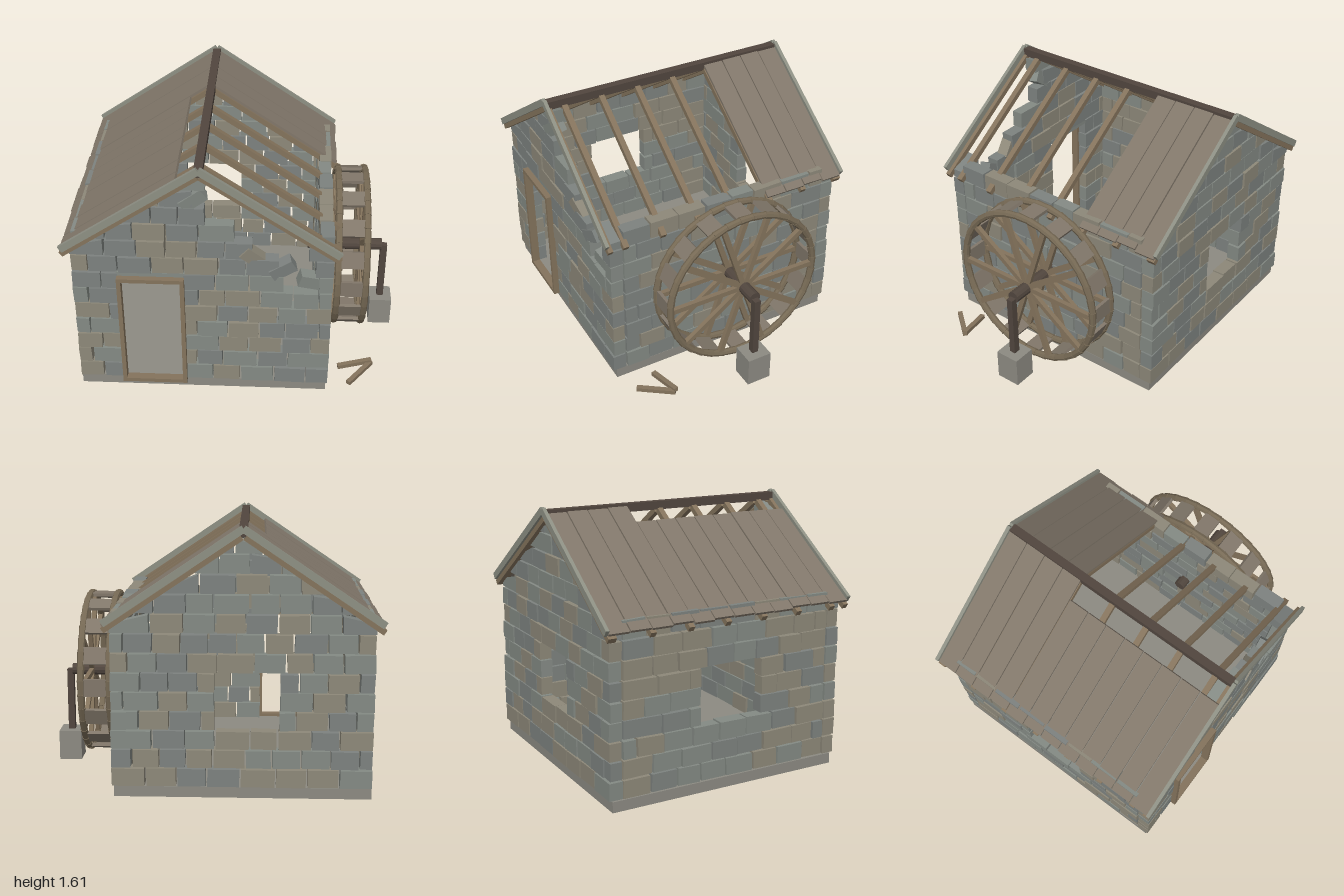
import * as THREE from 'three';
import { mergeGeometries } from 'three/addons/utils/BufferGeometryUtils.js';

const mat = (color) => new THREE.MeshStandardMaterial({ color, flatShading: true });
const STONES = [mat(0x848a84), mat(0x8d8879), mat(0x7d827f)];
const SLAB = mat(0x8c8a82), PLANK = mat(0x81776a), WOOD = mat(0x84735c);
const DARK = mat(0x51463e), TRIM = mat(0x8d8f83), RIM = mat(0x776a55);

// Seeded random numbers
let seed = 11;
const rnd = () => {
  seed = (seed * 16807) % 2147483647;
  return seed / 2147483647;
};
const jitter = (a) => (rnd() - 0.5) * 2 * a;

const CX = -0.2;              // ridge position
const SLOPE = 0.675;
const ROW0 = 0.083, ROW = 0.1142, EAVE_ROWS = 9;
const THICK = 0.078;

function box(parent, name, size, pos, material, rot = [0, 0, 0]) {
  const m = new THREE.Mesh(new THREE.BoxGeometry(...size), material);
  m.name = name;
  m.position.set(...pos);
  m.rotation.set(...rot);
  parent.add(m);
  return m;
}

// Stone wall in its own plane: u along the wall, y up, thickness along z.
function stoneWall(name, u0, u1, { gable = false, openings = [], keep = () => true } = {}) {
  const buckets = STONES.map(() => []);
  const roof = (u) => 1.565 - SLOPE * Math.abs(u - CX);
  const rows = gable ? 13 : EAVE_ROWS;
  for (let r = 0; r < rows; r++) {
    const y0 = ROW0 + r * ROW, y1 = y0 + ROW - 0.009, ym = (y0 + y1) / 2;
    let spans = [[u0, u1]];
    if (r >= EAVE_ROWS) {
      const half = (1.545 - y0) / SLOPE;
      spans = [[CX - half, CX + half]];
    }
    // cut the openings out of the row
    for (const [a, b, lo, hi] of openings) {
      if (ym < lo || ym > hi) continue;
      spans = spans.flatMap(([s, e]) => [[s, Math.min(e, a)], [Math.max(s, b), e]]).filter(([s, e]) => e - s > 0.03);
    }
    for (const [s, e] of spans) {
      let u = s, first = true;
      while (u < e - 0.01) {
        let len = 0.15 + rnd() * 0.06;
        if (first && r % 2) len *= 0.5;
        first = false;
        if (e - u - len < 0.07) len = e - u;
        const um = u + len / 2;
        if (keep(um, ym)) {
          const w = len - 0.01;
          const g = new THREE.BoxGeometry(w, y1 - y0, THICK + jitter(0.007));
          const p = g.attributes.position;
          const skew = [jitter(0.003), jitter(0.003), jitter(0.003), jitter(0.003)];
          for (let i = 0; i < p.count; i++) {
            const right = p.getX(i) > 0, top = p.getY(i) > 0;
            const x = um + p.getX(i) + skew[top ? 0 : 1];
            let y = ym + p.getY(i) + skew[right ? 2 : 3];
            if (gable && r >= EAVE_ROWS - 1) y = Math.max(y0, Math.min(y, roof(x)));
            p.setXY(i, x, y);
          }
          g.translate(0, 0, jitter(0.004));
          g.computeVertexNormals();
          buckets[Math.floor(rnd() * STONES.length)].push(g);
        }
        u += len;
      }
    }
  }
  const wall = new THREE.Group();
  wall.name = name;
  buckets.forEach((list, i) => {
    if (!list.length) return;
    const m = new THREE.Mesh(mergeGeometries(list), STONES[i]);
    m.name = name + 'Stones';
    wall.add(m);
  });
  return wall;
}

// Board lying along a roof slope, from d0 to d1 measured sideways from the ridge.
function slopeBoard(parent, name, side, d0, d1, ridgeY, thick, z, width, material) {
  const a = Math.atan(SLOPE), d = (d0 + d1) / 2;
  return box(parent, name, [(d1 - d0) / Math.cos(a), thick, width],
    [CX + side * d, ridgeY - SLOPE * d, z], material, [0, 0, -side * a]);
}

function buildWalls(model) {
  // front wall, broken away below the right roof slope
  const front = stoneWall('frontWall', -0.96, 0.57, {
    gable: true,
    openings: [[-0.68, -0.31, 0, 0.85]],
    keep: (x, y) => x < -0.22 || (x > 0.47 && y < 1.1) || y < 1.24 - 0.75 * (x + 0.2),
  });
  front.position.z = 0.728;
  const back = stoneWall('backWall', -0.96, 0.57, { gable: true, openings: [[-0.41, -0.04, 0.4, 0.74]] });
  back.position.z = -0.728;
  // side walls run along z (u = -z after the turn)
  const right = stoneWall('wheelSideWall', -0.685, 0.685);
  right.rotation.y = Math.PI / 2;
  right.position.x = 0.527;
  const left = stoneWall('windowSideWall', -0.685, 0.685, { openings: [[-0.22, 0.18, 0.4, 0.74]] });
  left.rotation.y = Math.PI / 2;
  left.position.x = -0.917;
  model.add(front, back, right, left);

  // loose stones along the break
  [[-0.24, 1.38, 0.6], [0.1, 1.0, -0.75], [0.27, 0.92, 0.5], [0.44, 0.84, -0.3]].forEach(([x, y, r], i) =>
    box(model, 'looseStone', [0.15, 0.08, 0.075], [x, y, 0.728], STONES[i % 3], [0.1, 0.15, r]));

  // door frame and lintel
  for (const x of [-0.68, -0.31]) box(model, 'doorPost', [0.025, 0.78, 0.05], [x, 0.46, 0.775], WOOD);
  for (const y of [0.083, 0.84]) box(model, 'doorRail', [0.395, 0.025, 0.05], [-0.495, y, 0.775], WOOD);
  box(model, 'doorLintel', [0.4, 0.028, 0.07], [-0.495, 0.865, 0.728], STONES[0]);
}

function buildRoof(model) {
  const roof = new THREE.Group();
  roof.name = 'roof';
  model.add(roof);
  box(roof, 'ridgeBeam', [0.05, 0.05, 1.58], [CX, 1.572, 0], DARK);
  for (const side of [-1, 1]) {
    for (let i = 0; i < 7; i++) slopeBoard(roof, 'rafter', side, 0.015, 0.8, 1.553, 0.034, 0.68 - i * 0.24, 0.035, WOOD);
    for (const z of [-0.798, 0.798]) {
      slopeBoard(roof, 'bargeBoard', side, 0, 0.8, 1.595, 0.042, z, 0.022, TRIM);
      slopeBoard(roof, 'vergeRafter', side, 0.01, 0.8, 1.553, 0.034, z * 0.975, 0.03, WOOD);
    }
    // planks: whole at the back, short on the left and gone on the right towards the front
    for (let i = 0; i < 12; i++) {
      const z = -0.725 + i * 0.132, whole = i < 4;
      if (side > 0 && !whole) continue;
      slopeBoard(roof, 'roofPlank', side, whole ? 0.005 : 0.13, 0.8 + jitter(0.006), 1.588 + jitter(0.003), 0.016, z, 0.126, PLANK);
    }
  }
}

function buildWheel(model) {
  const wheel = new THREE.Group();
  wheel.name = 'waterWheel';
  wheel.position.y = 0.6;
  model.add(wheel);
  const R = 0.494, SEGS = 36;
  const arm = (angle) => {
    const g = new THREE.Group();
    g.rotation.x = -angle;
    wheel.add(g);
    return g;
  };
  const rimPiece = new THREE.CylinderGeometry(0.02, 0.0235, (2 * Math.PI * R) / SEGS + 0.004, 8);
  for (const x of [0.61, 0.78]) {
    for (let i = 0; i < SEGS; i++) {
      const m = new THREE.Mesh(rimPiece, RIM);
      m.name = 'rimPiece';
      m.position.set(x, 0, R);
      arm((i / SEGS) * Math.PI * 2).add(m);
    }
    for (let i = 0; i < 10; i++) box(arm((i / 10) * Math.PI * 2), 'spoke', [0.028, 0.032, R], [x, 0, R / 2], WOOD);
  }
  for (let i = 0; i < 16; i++) box(arm((i / 16) * Math.PI * 2), 'paddle', [0.16, 0.105, 0.02], [0.695, 0, R], PLANK);

  const axle = new THREE.Mesh(new THREE.CylinderGeometry(0.038, 0.038, 0.48, 12), DARK);
  axle.name = 'axle';
  axle.rotation.z = Math.PI / 2;
  axle.position.x = 0.67;
  wheel.add(axle);
  // outer bearing post on its footing
  box(model, 'bearingPost', [0.042, 0.43, 0.04], [0.925, 0.385, 0], DARK);
  box(model, 'postFooting', [0.143, 0.19, 0.155], [0.927, 0.105, 0], SLAB);
}

export function createModel() {
  const model = new THREE.Group();
  model.name = 'ruinedWatermill';
  box(model, 'floorSlab', [1.51, 0.065, 1.5], [CX, 0.043, 0], SLAB);
  buildWalls(model);
  buildRoof(model);
  buildWheel(model);
  // fallen boards beside the wheel
  box(model, 'fallenBoard', [0.22, 0.026, 0.03], [0.745, 0.03, 0.52], WOOD, [0, 0.2, 0.1]);
  box(model, 'fallenBoard', [0.24, 0.026, 0.03], [0.775, 0.02, 0.595], WOOD, [0, 0.9, 0.05]);
  return model;
}
